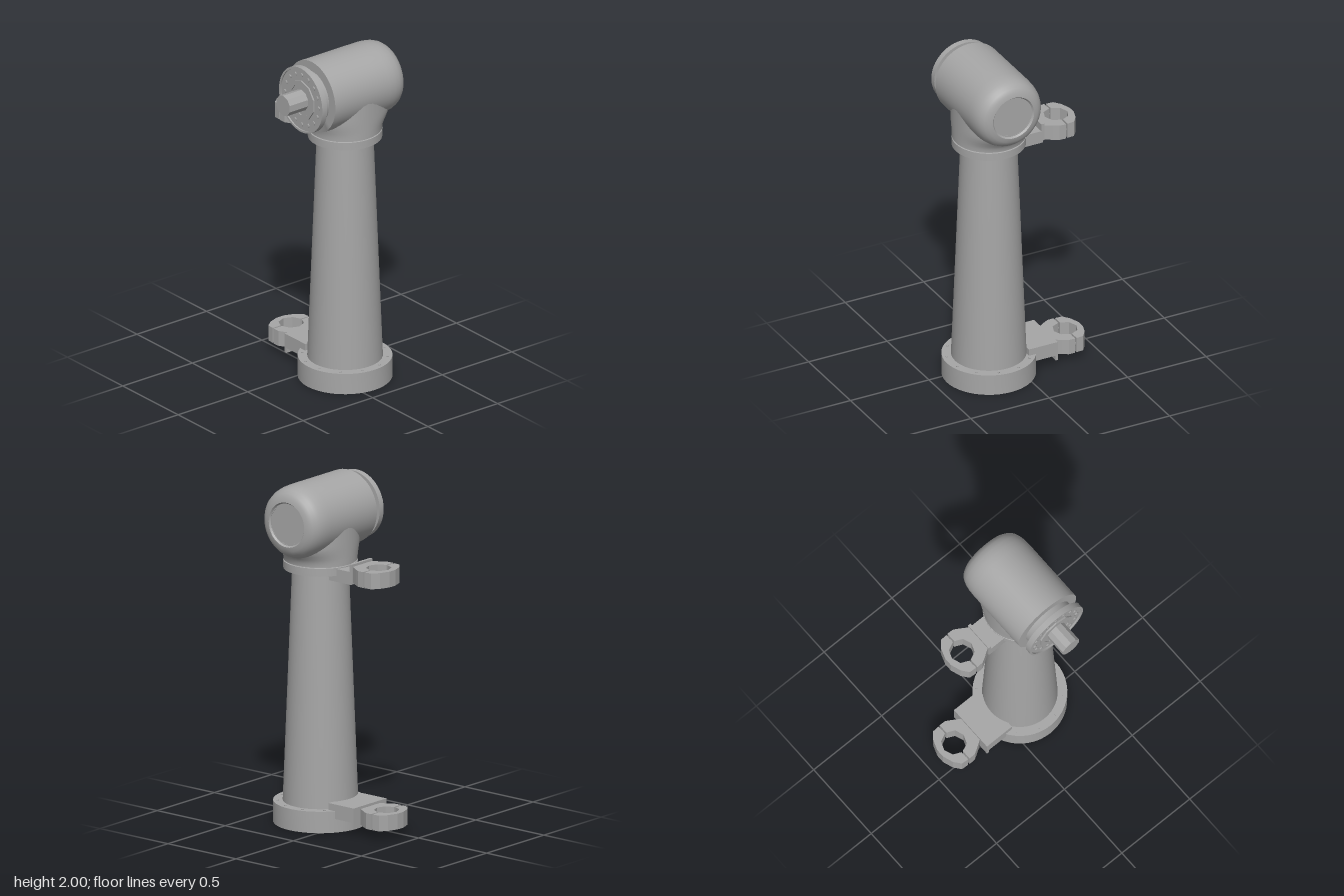
import * as THREE from 'three';
import { toCreasedNormals } from 'three/addons/utils/BufferGeometryUtils.js';

const CX = 0.158, CZ = -0.074; // column axis
const HY = 1.786;              // height of the head axis

export function createModel() {
  const group = new THREE.Group();
  const metal = new THREE.MeshStandardMaterial({ color: 0xa6a6a6 });
  metal.name = 'greyMetal';

  const add = (name, geo, x = 0, y = 0, z = 0, parent = group) => {
    const mesh = new THREE.Mesh(geo, metal);
    mesh.name = name;
    mesh.position.set(x, y, z);
    parent.add(mesh);
    return mesh;
  };
  const lathe = (pts, sides = 48) =>
    toCreasedNormals(new THREE.LatheGeometry(pts.map(p => new THREE.Vector2(...p)), sides), 0.6);
  const latheZ = (pts, sides) => lathe(pts, sides).rotateX(Math.PI / 2);
  const box = (name, x0, x1, y0, y1, z0, z1) =>
    add(name, new THREE.BoxGeometry(x1 - x0, y1 - y0, z1 - z0), (x0 + x1) / 2, (y0 + y1) / 2, (z0 + z1) / 2);

  // Hollow tapered column and its stepped base ring
  add('column', lathe([
    [0.175, 0.06], [0.213, 0.06], [0.213, 0.125], [0.16, 1.49],
    [0.13, 1.49], [0.175, 0.06],
  ]), CX, 0, CZ);
  add('baseFlange', lathe([
    [0.235, 0], [0.267, 0], [0.267, 0.125], [0.2, 0.125], [0.2, 0.06], [0.235, 0.06], [0.235, 0],
  ]), CX, 0, CZ);
  for (let i = 0; i < 12; i++) {
    const a = (i + 0.5) * Math.PI / 6;
    add('baseBolt', new THREE.CylinderGeometry(0.007, 0.007, 0.006, 6),
      CX + 0.242 * Math.cos(a), 0.126, CZ + 0.242 * Math.sin(a));
  }

  // Collar under the elbow
  add('collar', lathe([
    [0.13, 1.48], [0.21, 1.48], [0.21, 1.526], [0.203, 1.528], [0.203, 1.535], [0.13, 1.535],
  ]), CX, 0, CZ);

  // Elbow neck: a round sleeve that widens along z towards the head
  const neck = new THREE.CylinderGeometry(0.209, 0.209, 0.253, 48, 12, true);
  const p = neck.attributes.position;
  for (let i = 0; i < p.count; i++) {
    const t = THREE.MathUtils.smoothstep(p.getY(i), -0.12, -0.01);
    const reach = p.getZ(i) > 0 ? 0.028 : 0.062;
    p.setZ(i, p.getZ(i) * (1 + t * reach / 0.209));
  }
  neck.computeVertexNormals();
  add('elbowNeck', neck, CX, 1.533 + 0.1265, CZ);

  // Horizontal head, rounded at the back, with its lower corners drawn in
  const head = latheZ([
    [0, -0.362], [0.122, -0.362], [0.13, -0.372], [0.155, -0.367], [0.178, -0.353], [0.194, -0.333],
    [0.205, -0.305], [0.211, -0.27], [0.213, -0.23], [0.213, -0.14], [0.213, 0.08], [0.213, 0.165], [0, 0.165],
  ], 64);
  const h = head.attributes.position;
  for (let i = 0; i < h.count; i++) {
    const low = THREE.MathUtils.clamp((-0.15 - h.getY(i)) / 0.063, 0, 1);
    h.setZ(i, THREE.MathUtils.clamp(h.getZ(i), -0.372 + 0.05 * low, 0.165 - 0.025 * low));
  }
  add('head', toCreasedNormals(head, 0.6), CX, HY, 0);
  add('rearCover', latheZ([[0.118, -0.366], [0.118, -0.364], [0, -0.364]].reverse()
    .map(([r, z]) => [r, z - 0.002]), 10), CX, HY, 0);

  // Output neck, rimmed flange, hub and shaft
  add('outputNeck', latheZ([
    [0.157, 0.16], [0.156, 0.19], [0.162, 0.212],
  ]), CX, HY, 0);
  add('outputFlange', latheZ([
    [0, 0.21], [0.196, 0.21], [0.196, 0.245], [0.184, 0.245], [0.184, 0.236], [0, 0.236],
  ]), CX, HY, 0);
  add('hub', latheZ([
    [0.118, 0.23], [0.118, 0.245], [0.092, 0.245], [0.092, 0.239], [0, 0.239],
  ], 10), CX, HY, 0);
  add('shaft', latheZ([[0.0625, 0.23], [0.0625, 0.371], [0, 0.371]], 10), CX, HY, 0);
  for (let i = 0; i < 16; i++) {
    const a = i * Math.PI / 8;
    add('flangeBolt', new THREE.CylinderGeometry(0.013, 0.013, 0.01, 6).rotateX(Math.PI / 2),
      CX + 0.152 * Math.cos(a), HY + 0.152 * Math.sin(a), 0.238);
  }

  // Split pipe clamp, two halves around a faceted bore
  const clampHalf = (outline, dir) => {
    const bore = [];
    for (let i = 0; i <= 4; i++) {
      const a = Math.PI / 2 - i * Math.PI / 4;
      bore.push([dir * (0.005 + 0.066 * Math.cos(a)), 0.072 * Math.sin(a)]);
    }
    const lower = outline.map(([x, z]) => [x, -z]).reverse();
    const pts = [...outline, ...lower, ...bore.reverse()].map(q => new THREE.Vector2(...q));
    return new THREE.ExtrudeGeometry(new THREE.Shape(pts), { depth: 0.092, bevelEnabled: false })
      .rotateX(-Math.PI / 2);
  };
  const clamp = (name, x, y) => {
    const g = new THREE.Group();
    g.name = name;
    g.position.set(x, y, CZ);
    add('outerJaw', clampHalf([[-0.005, 0.129], [-0.048, 0.126], [-0.08, 0.085], [-0.101, 0.025]], -1), 0, 0, 0, g);
    add('innerJaw', clampHalf([[0.005, 0.131], [0.045, 0.129], [0.075, 0.112], [0.125, 0.08]], 1), 0, 0, 0, g);
    for (const s of [-1, 1]) {
      add('clampBolt', new THREE.CylinderGeometry(0.015, 0.015, 0.06, 8).rotateZ(Math.PI / 2), 0, 0.046, s * 0.102, g);
    }
    group.add(g);
  };

  // Upper bracket
  clamp('upperClamp', -0.27, 1.459);
  box('upperPlate', -0.148, -0.13, 1.459, 1.565, CZ - 0.09, CZ + 0.09);
  box('upperArm', -0.14, 0.025, 1.445, 1.52, CZ - 0.088, CZ + 0.088);

  // Lower bracket
  clamp('lowerClamp', -0.328, 0.058);
  box('lowerPlate', -0.206, -0.192, 0.05, 0.165, CZ - 0.144, CZ + 0.144);
  box('lowerArm', -0.2, -0.022, 0.08, 0.165, CZ - 0.143, CZ + 0.143);

  return group;
}
